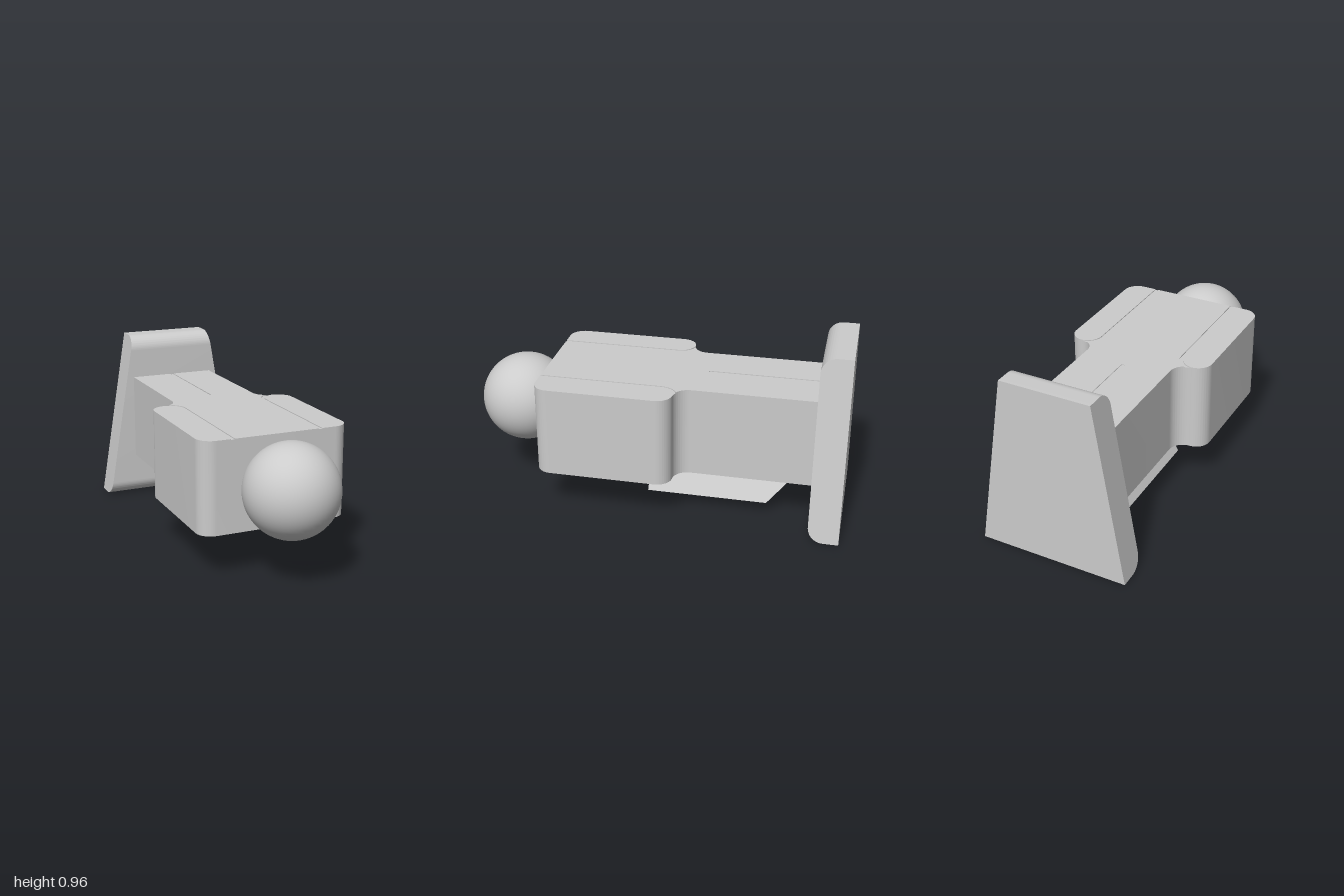
import * as THREE from 'three';
import { toCreasedNormals } from 'three/addons/utils/BufferGeometryUtils.js';

const material = new THREE.MeshStandardMaterial({ color: 0xcccccc });
const PI = Math.PI;
const BOTTOM = 0.24, TOP = 0.72, GROOVE = 0.004;

function add(group, name, geometry) {
  const mesh = new THREE.Mesh(geometry, material);
  mesh.name = name;
  group.add(mesh);
  return mesh;
}

// Mirrors a half outline, drawn from the front to the rear, across x = 0
function mirrored(half) {
  const pts = half.getPoints(14);
  const other = pts.map(p => new THREE.Vector2(-p.x, p.y)).reverse();
  return new THREE.Shape([...pts, ...other]);
}

// Extrudes a plan outline (x, -z) upwards between two heights
function slab(shape, y0, y1) {
  const g = new THREE.ExtrudeGeometry(shape, { depth: y1 - y0, bevelEnabled: false });
  g.rotateX(-PI / 2).translate(0, y0, 0);
  return toCreasedNormals(g, 0.5);
}

export function createModel() {
  const group = new THREE.Group();

  // Body: wide rounded block with a filleted neck running back to the plate
  const half = new THREE.Path();
  half.absarc(0.32, -0.52, 0.08, -PI / 2, 0, false);
  half.absarc(0.32, 0.04, 0.08, 0, PI / 2, false);
  half.absarc(0.32, 0.2, 0.08, -PI / 2, -PI, true);
  half.lineTo(0.24, 0.84);
  add(group, 'body', slab(mirrored(half), BOTTOM, TOP - GROOVE));

  // Top skin: centre panel notched by a round-ended slot at the rear
  const centre = new THREE.Path();
  centre.moveTo(0.225, -0.6);
  centre.lineTo(0.225, 0.04);
  centre.absarc(0.325, 0.04, 0.1, PI, 1.99, true);
  centre.absarc(0.32, 0.2, 0.08, 4.23, PI, true);
  centre.lineTo(0.24, 0.84);
  centre.lineTo(0.01, 0.84);
  centre.lineTo(0.01, 0.26);
  centre.absarc(0, 0.26, 0.01, 0, -1.4, true);
  add(group, 'centrePanel', slab(mirrored(centre), TOP - GROOVE, TOP));

  // Side panels, parted from the centre by narrow grooves
  const side = new THREE.Path();
  side.moveTo(0.245, -0.6);
  side.lineTo(0.245, 0.04);
  side.absarc(0.325, 0.04, 0.08, PI, PI / 2, true);
  side.absarc(0.32, 0.04, 0.08, PI / 2, 0, true);
  side.absarc(0.32, -0.52, 0.08, 0, -PI / 2, true);
  for (const [name, s] of [['leftPanel', 1], ['rightPanel', -1]]) {
    const outline = side.getPoints(14).map(p => new THREE.Vector2(s * p.x, p.y));
    add(group, name, slab(new THREE.Shape(outline), TOP - GROOVE, TOP));
  }

  // Ball set into the front face
  add(group, 'ball', new THREE.SphereGeometry(0.24, 48, 32)).position.set(0, 0.48, 0.76);

  // Rear plate: side profile with rounded front edges, narrowing towards the top
  const profile = new THREE.Shape();
  profile.moveTo(-1, 0);
  profile.lineTo(-0.92, 0);
  profile.absarc(-0.92, 0.08, 0.08, -PI / 2, 0, false);
  profile.absarc(-0.92, 0.88, 0.08, 0, PI / 2, false);
  profile.lineTo(-1, 0.96);
  const plate = new THREE.ExtrudeGeometry(profile, { depth: 2, bevelEnabled: false, curveSegments: 14 });
  plate.translate(0, 0, -1).rotateY(-PI / 2);
  const pp = plate.attributes.position;
  for (let i = 0; i < pp.count; i++) {
    pp.setX(i, pp.getX(i) * (0.4 - 0.16 * pp.getY(i) / 0.96));
  }
  add(group, 'rearPlate', toCreasedNormals(plate, 0.5));

  // Dovetail rail under the body: wider at the bottom, sloped at the rear
  const rail = new THREE.BoxGeometry(2, 1, 1).toNonIndexed();
  const rp = rail.attributes.position;
  for (let i = 0; i < rp.count; i++) {
    const upper = rp.getY(i) > 0, front = rp.getZ(i) > 0;
    rp.setXYZ(i, rp.getX(i) * (upper ? 0.08 : 0.18), upper ? BOTTOM : 0.068,
      front ? 0.04 : upper ? -0.77 : -0.6);
  }
  rail.computeVertexNormals();
  add(group, 'dovetailRail', rail);

  return group;
}
